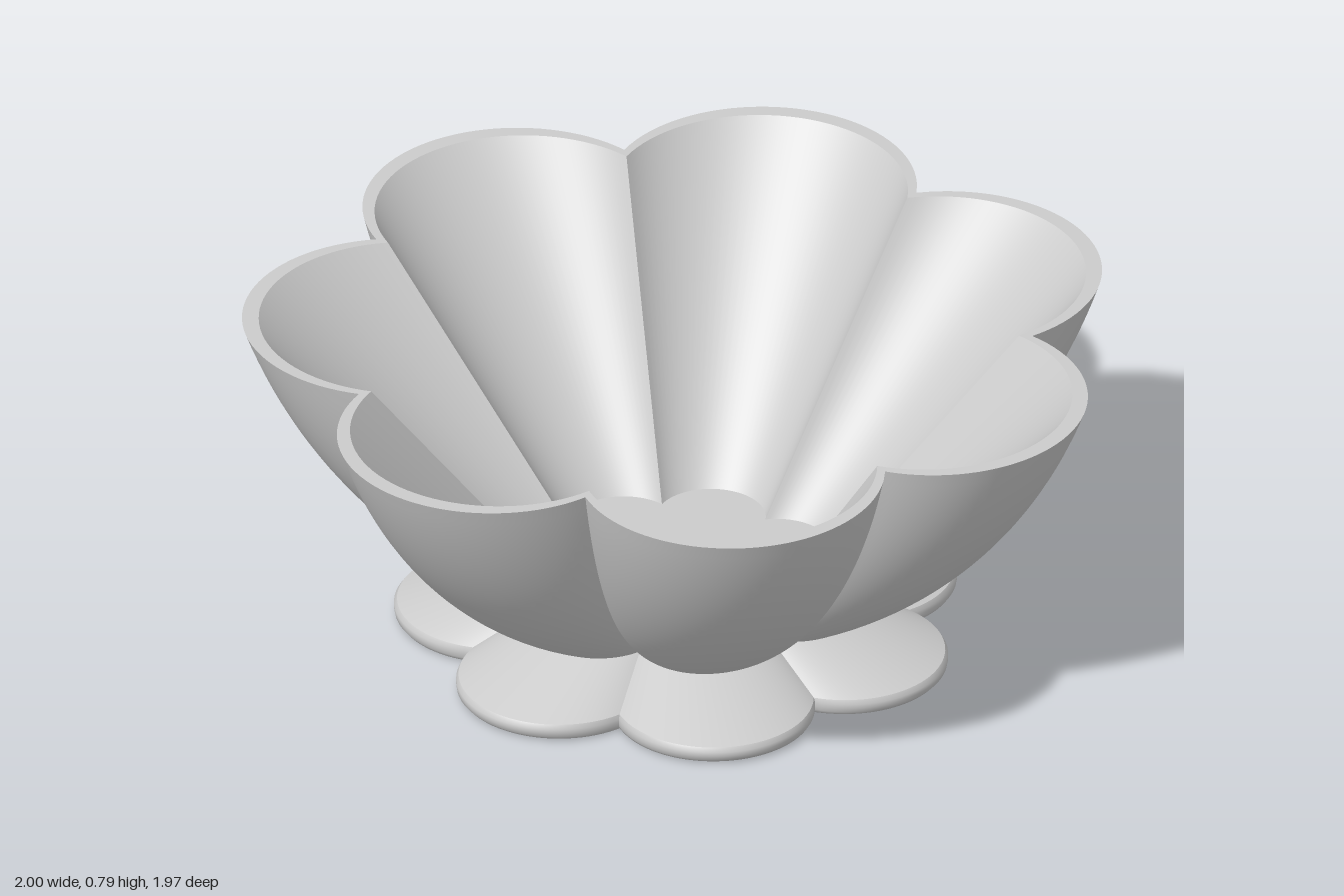
import * as THREE from 'three';
import { mergeGeometries } from 'three/addons/utils/BufferGeometryUtils.js';

const PETALS = 7;
const ARC_STEPS = 40;
const D = 0.66;    // distance of each petal circle from the axis
const R = 0.3565;  // radius of each petal circle

// Half the angle of the petal arc, from its tip to the crease with its neighbour
const half = Math.PI / PETALS;
const crease = D * Math.cos(half) + Math.sqrt(R * R - (D * Math.sin(half)) ** 2);
const sweep = Math.atan2(crease * Math.sin(half), crease * Math.cos(half) - D);

// One petal-wide sheet swept along a profile of [scale, height] points
function petalSheet(profile) {
  const positions = [], indices = [];
  const row = ARC_STEPS + 1;
  profile.forEach(([s, y], j) => {
    for (let i = 0; i <= ARC_STEPS; i++) {
      const t = -sweep + (2 * sweep * i) / ARC_STEPS;
      positions.push(s * R * Math.sin(t), y, s * (D + R * Math.cos(t)));
      if (i < ARC_STEPS && j < profile.length - 1) {
        const a = j * row + i;
        indices.push(a, a + 1, a + row, a + 1, a + row + 1, a + row);
      }
    }
  });
  const g = new THREE.BufferGeometry();
  g.setAttribute('position', new THREE.Float32BufferAttribute(positions, 3));
  g.setIndex(indices);
  g.computeVertexNormals();
  return g;
}

// Repeats the sheet around the axis; creases between petals stay sharp
function flower(name, profile, material) {
  const sheets = [];
  for (let k = 0; k < PETALS; k++) {
    sheets.push(petalSheet(profile).rotateY((k * 2 * Math.PI) / PETALS));
  }
  const mesh = new THREE.Mesh(mergeGeometries(sheets), material);
  mesh.name = name;
  return mesh;
}

export function createModel() {
  const model = new THREE.Group();
  model.name = 'petalBowl';
  const material = new THREE.MeshStandardMaterial({ color: 0xcccccc, side: THREE.DoubleSide });

  // Foot: flat underside, rounded lip, sloping top
  const foot = new THREE.Group();
  foot.name = 'foot';
  foot.add(
    flower('footUnderside', [[0, 0], [0.635, 0]], material),
    flower('footLip', [[0.635, 0], [0.646, 0.004], [0.653, 0.012], [0.655, 0.022], [0.655, 0.032], [0.648, 0.042]], material),
    flower('footSlope', [[0.648, 0.042], [0.44, 0.115]], material),
  );

  // Bowl: curved outside, flat rim, straight-sided inside, flat floor
  const outside = new THREE.QuadraticBezierCurve(
    new THREE.Vector2(0.44, 0.115), new THREE.Vector2(0.842, 0.348), new THREE.Vector2(1, 0.785),
  ).getPoints(24).map((p) => [p.x, p.y]);
  const bowl = new THREE.Group();
  bowl.name = 'bowl';
  bowl.add(
    flower('bowlOutside', outside, material),
    flower('rim', [[1, 0.785], [0.962, 0.785]], material),
    flower('bowlInside', [[0.962, 0.785], [0.355, 0.14]], material),
    flower('bowlFloor', [[0.355, 0.14], [0, 0.14]], material),
  );

  model.add(foot, bowl);
  // Seven petals are uneven front to back, so centre the extents on z
  foot.position.z = bowl.position.z = -(D + R - D * Math.cos(half) - R) / 2;
  return model;
}
